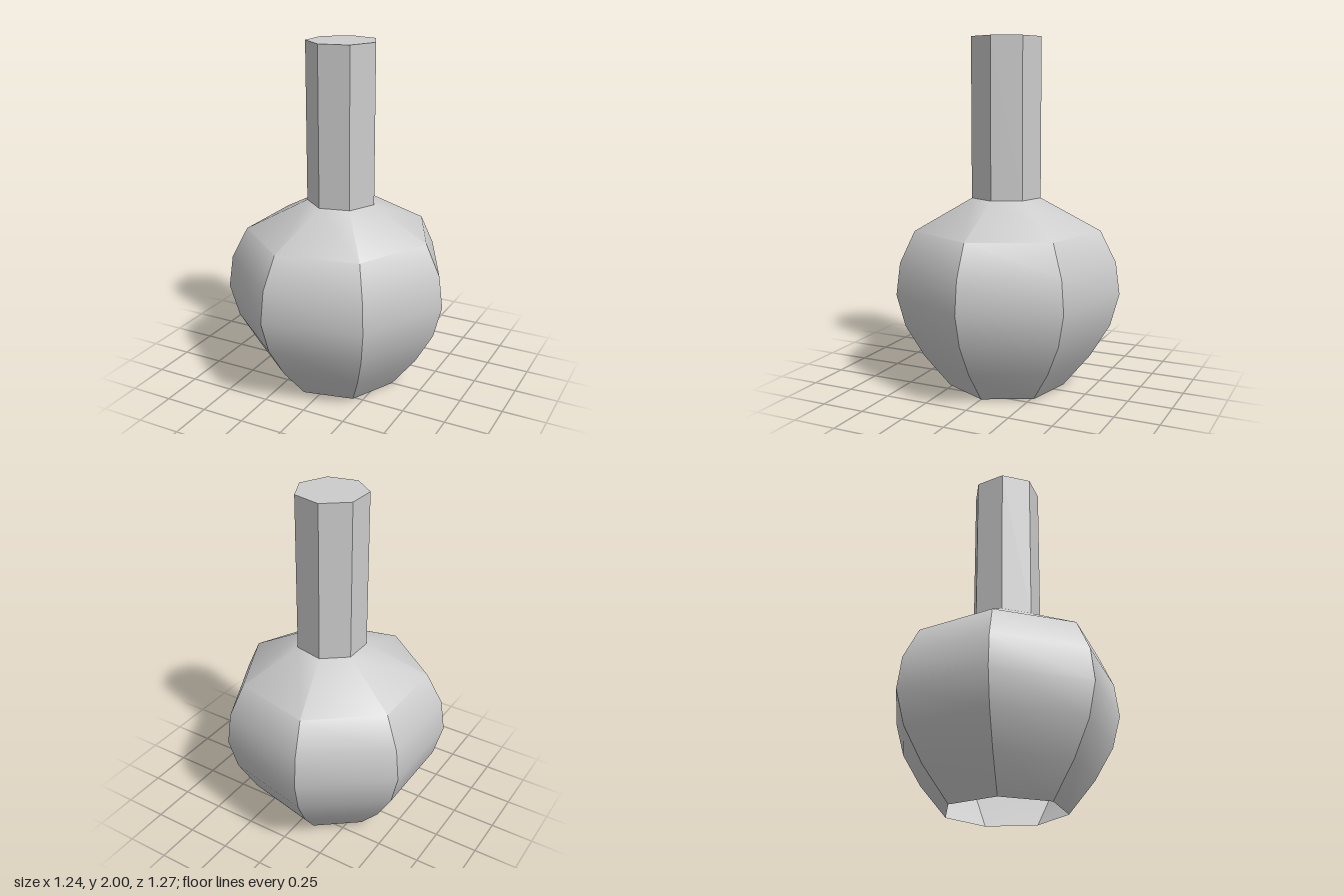
import * as THREE from 'three';
import { toCreasedNormals } from 'three/addons/utils/BufferGeometryUtils.js';

const SIDES = 7;

// Seven-sided turned shell with one corner on +x; each ring is centred on its own width.
function shell(name, profile, material) {
  const points = profile.map(([r, y]) => new THREE.Vector2(r, y));
  const geometry = new THREE.LatheGeometry(points, SIDES, Math.PI / 2);
  const p = geometry.attributes.position;
  const shift = (1 - Math.cos(Math.PI / SIDES)) / 2;
  for (let i = 0; i < p.count; i++) {
    const r = Math.hypot(p.getX(i), p.getZ(i));
    p.setX(i, p.getX(i) - shift * r);
  }
  // Panels curve smoothly from bottom to top, with sharp seams between them
  const mesh = new THREE.Mesh(toCreasedNormals(geometry, THREE.MathUtils.degToRad(38)), material);
  mesh.name = name;
  return mesh;
}

export function createModel() {
  const group = new THREE.Group();
  group.name = 'bottle';
  const material = new THREE.MeshStandardMaterial({ color: 0xcccccc, side: THREE.DoubleSide });

  // Bulbous body, open underneath
  group.add(shell('body', [
    [0.338, 0], [0.49, 0.185], [0.6, 0.37], [0.65, 0.555],
    [0.626, 0.74], [0.538, 0.92], [0.2, 1.1],
  ], material));

  // Straight neck with a flat closed top
  group.add(shell('neck', [[0.2, 1.1], [0.2, 2]], material));
  group.add(shell('neckTop', [[0.2, 2], [0, 2]], material));

  return group;
}
